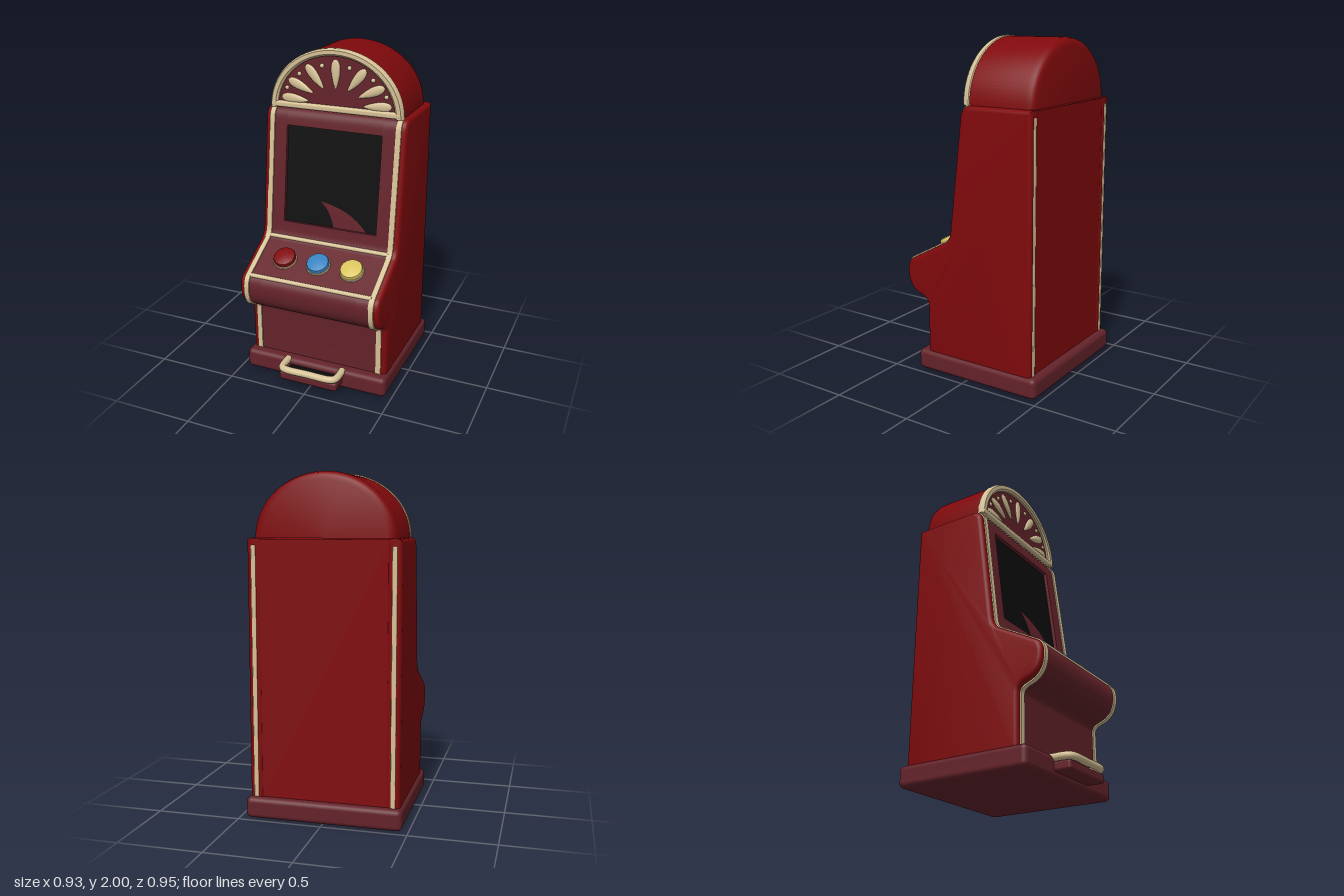
import * as THREE from 'three';
import { toCreasedNormals } from 'three/addons/utils/BufferGeometryUtils.js';
import { RoundedBoxGeometry } from 'three/addons/geometries/RoundedBoxGeometry.js';

const material = (name, color) => Object.assign(new THREE.MeshStandardMaterial({ color }), { name });

export function createModel() {
  const red = material('cabinet red', 0x80090c);
  const maroon = material('maroon', 0x64232a);
  const cream = material('cream trim', 0xd6c196);
  const black = material('screen black', 0x0b0b0c);
  const blue = material('button blue', 0x3682c0);
  const yellow = material('button yellow', 0xd8c45c);

  const model = new THREE.Group();
  model.name = 'arcadeCabinet';
  const add = (name, geometry, mat, x = 0, y = 0, z = 0, parent = model) => {
    const mesh = new THREE.Mesh(geometry, mat);
    mesh.name = name;
    mesh.position.set(x, y, z);
    parent.add(mesh);
    return mesh;
  };
  const box = (w, h, d, r = 0.006) => new RoundedBoxGeometry(w, h, d, 3, r);

  // Front edge of the cabinet seen from the side, as (z, y)
  const front = new THREE.Path();
  front.moveTo(0.29, 0.1);
  front.lineTo(0.29, 0.41);
  front.quadraticCurveTo(0.29, 0.45, 0.345, 0.465);
  front.bezierCurveTo(0.42, 0.49, 0.44, 0.55, 0.44, 0.61);
  front.quadraticCurveTo(0.44, 0.67, 0.4, 0.69);
  front.lineTo(0.16, 0.82);
  front.quadraticCurveTo(0.125, 0.84, 0.118, 0.89);
  front.lineTo(0.1118, 0.94);
  front.lineTo(0.0387, 1.53);
  front.lineTo(0.035, 1.56);
  front.quadraticCurveTo(0.028, 1.62, -0.02, 1.63);
  const frontPoints = front.getPoints(10);

  // Extrudes a (z, y) outline across x, centred on x = 0
  const acrossX = (points, width, bevel = 0) => {
    const g = new THREE.ExtrudeGeometry(new THREE.Shape(points), {
      depth: width - 2 * bevel, bevelEnabled: bevel > 0, bevelSize: bevel,
      bevelThickness: bevel, bevelOffset: -bevel, bevelSegments: 4,
    });
    g.translate(0, 0, -(width - 2 * bevel) / 2).rotateY(-Math.PI / 2);
    return toCreasedNormals(g, 0.6);
  };

  // A layer that follows the front edge, between two distances from it
  const skin = (points, width, out, inside) => {
    const shift = (d) => points.map((p, i) => {
      const a = points[Math.max(i - 1, 0)];
      const b = points[Math.min(i + 1, points.length - 1)];
      const t = b.clone().sub(a).normalize();
      return new THREE.Vector2(p.x + t.y * d, p.y - t.x * d);
    });
    return acrossX([...shift(out), ...shift(-inside).reverse()], width);
  };

  // Base
  add('base', box(0.925, 0.125, 0.83, 0.03), maroon, 0, 0.0625, -0.06);

  // Cabinet core and rounded side walls
  const core = [[-0.43, 0.1], [0.255, 0.1], [0.255, 0.43], [0.37, 0.5], [0.38, 0.64], [0.1, 0.8],
    [0.085, 0.9], [0, 1.57], [-0.02, 1.625], [-0.43, 1.625]].map(([z, y]) => new THREE.Vector2(z, y));
  add('cabinetCore', acrossX(core, 0.76), red);
  const wall = [...frontPoints, new THREE.Vector2(-0.435, 1.63), new THREE.Vector2(-0.435, 0.1)];
  for (const s of [-1, 1]) {
    add('sideWall', acrossX(wall, 0.085, 0.025), red, s * 0.4025);
    add('frontEdgeTrim', skin(frontPoints, 0.032, 0.008, 0.02), cream, s * 0.397);
    add('backEdgeTrim', box(0.028, 1.48, 0.018), cream, s * 0.406, 0.85, -0.43);
    add('screenSurround', skin(frontPoints, 0.09, 0.001, 0.03), maroon, s * 0.345);
  }

  // Front panel above and below the screen opening
  add('lowerFrontPanel', skin(frontPoints.filter((p) => p.y < 0.941), 0.602, 0.001, 0.03), maroon);
  add('upperFrontPanel', skin(frontPoints.filter((p) => p.y > 1.529), 0.602, 0.001, 0.03), maroon);

  // Sunken screen with a curved patch at its foot
  const screen = new THREE.Group();
  screen.name = 'screenGroup';
  screen.position.set(0, 1.235, 0.0753);
  screen.rotation.x = -0.123;
  model.add(screen);
  add('screen', new THREE.BoxGeometry(0.6, 0.6, 0.02), black, 0, 0, -0.03, screen);
  const patch = new THREE.Shape();
  patch.moveTo(-0.07, -0.145);
  patch.quadraticCurveTo(0, -0.2, 0.02, -0.296);
  patch.lineTo(0.23, -0.296);
  patch.quadraticCurveTo(0.13, -0.17, -0.07, -0.145);
  add('screenPatch', new THREE.ShapeGeometry(patch), maroon, 0, 0, -0.018, screen);

  // Control panel borders
  for (const [y, z] of [[0.84, 0.132], [0.685, 0.404]]) {
    add('controlPanelBorder', new THREE.CylinderGeometry(0.014, 0.014, 0.78, 16).rotateZ(Math.PI / 2), cream, 0, y, z);
  }

  // Push buttons on the sloping panel
  const cap = [[0, 0], [0.068, 0], [0.068, 0.026], [0.065, 0.034], [0.057, 0.038], [0, 0.04]]
    .map(([r, y]) => new THREE.Vector2(r, y));
  [[-0.218, red], [0, blue], [0.215, yellow]].forEach(([x, mat]) => {
    const button = new THREE.Group();
    button.name = 'button';
    button.position.set(x, 0.76, 0.27);
    button.rotation.x = 0.496;
    model.add(button);
    add('buttonRing', new THREE.CylinderGeometry(0.073, 0.076, 0.024, 36), cream, 0, 0, 0, button);
    add('buttonCap', toCreasedNormals(new THREE.LatheGeometry(cap, 36), 0.6), mat, 0, 0, 0, button);
  });

  // Arched top: half turns of (radius, z) profiles, slightly flattened
  const squash = 0.37 / 0.415;
  const halfTurn = (profile) => toCreasedNormals(new THREE.LatheGeometry(
    profile.map(([r, z]) => new THREE.Vector2(r, z)), 48, Math.PI / 2, Math.PI)
    .rotateX(Math.PI / 2).scale(1, squash, 1), 0.7);
  add('archHood', halfTurn([[0, -0.425], [0.36, -0.425], [0.385, -0.418], [0.402, -0.402],
    [0.41, -0.375], [0.41, 0], [0, 0]]), red, 0, 1.63, 0);
  add('archTrim', halfTurn([[0.368, -0.015], [0.408, -0.015], [0.415, -0.008], [0.415, 0.018], [0.405, 0.031],
    [0.38, 0.031], [0.368, 0.02], [0.368, -0.015]]), cream, 0, 1.63, 0);
  add('archFace', new THREE.CircleGeometry(0.385, 48, 0, Math.PI).scale(1, squash, 1), maroon, 0, 1.63, 0.008);
  add('archSill', box(0.82, 0.036, 0.046, 0.012), cream, 0, 1.65, 0.009);

  // Fan of petals, wider at the outer end, with small beads between
  const petal = new THREE.SphereGeometry(1, 20, 14);
  const pos = petal.attributes.position;
  for (let i = 0; i < pos.count; i++) pos.setX(i, pos.getX(i) * (1 + 0.45 * pos.getY(i)));
  petal.scale(0.026, 0.085, 0.014);
  petal.computeVertexNormals();
  const bead = new THREE.SphereGeometry(0.013, 12, 8).scale(1, 1, 0.8);
  for (const deg of [6, 32, 60, 90, 120, 148, 174]) {
    const a = THREE.MathUtils.degToRad(deg);
    const x = 0.26 * Math.cos(a), y = 0.185 * Math.sin(a);
    add('petal', petal, cream, x, 1.668 + y, 0.01).rotation.z = Math.atan2(y, x) - Math.PI / 2;
  }
  for (const deg of [20, 46, 75, 105, 134, 160]) {
    const a = THREE.MathUtils.degToRad(deg);
    add('bead', bead, cream, 0.33 * Math.cos(a), 1.668 + 0.235 * Math.sin(a), 0.01);
  }

  // Coin tray with its rail
  add('coinTray', box(0.38, 0.055, 0.13, 0.015), maroon, 0, 0.0625, 0.39);
  add('trayWell', new THREE.BoxGeometry(0.31, 0.006, 0.07), black, 0, 0.089, 0.393);
  const rail = new THREE.CatmullRomCurve3([[-0.18, 0.33], [-0.18, 0.41], [-0.17, 0.44], [-0.14, 0.453], [0, 0.453],
    [0.14, 0.453], [0.17, 0.44], [0.18, 0.41], [0.18, 0.33]].map(([x, z]) => new THREE.Vector3(x, 0.112, z)), false, 'centripetal');
  add('trayRail', new THREE.TubeGeometry(rail, 64, 0.022, 14), cream);

  return model;
}
